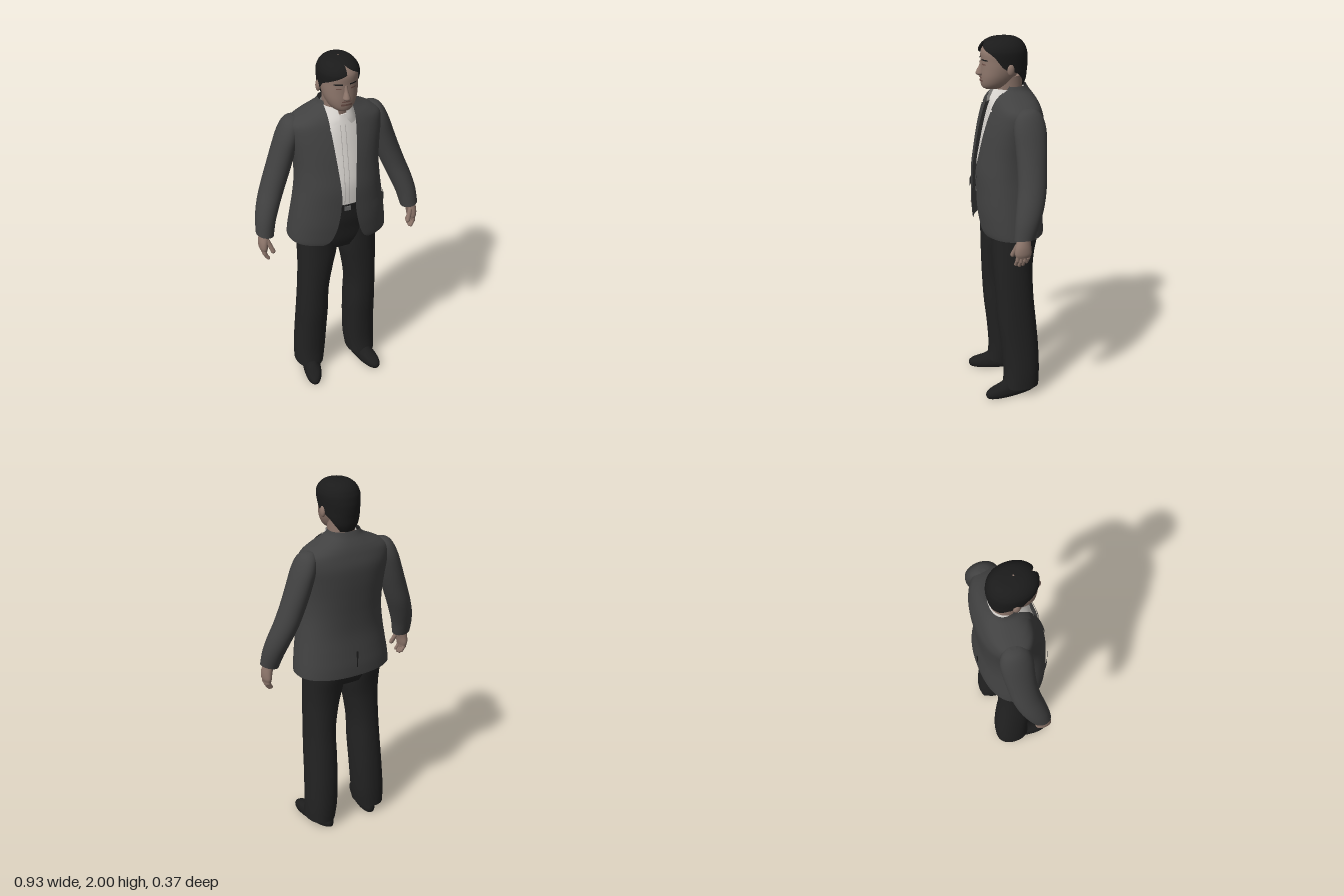
import * as THREE from 'three';

const mat = (name, color) => {
  const m = new THREE.MeshStandardMaterial({ color, side: THREE.DoubleSide });
  m.name = name;
  return m;
};

// A ring is [y, x, halfWidth, zFront, zBack, tilt, gapLeft, gapRight]; angle 0 is the front, going towards +x.
function ringPoint(r, t, e, off = 0) {
  const pow = v => Math.sign(v) * Math.abs(v) ** e;
  const dx = (r[2] + off) * pow(Math.sin(t));
  const z = (r[3] + r[4]) / 2 + ((r[3] - r[4]) / 2 + off) * pow(Math.cos(t));
  return [r[1] + dx, r[0] + (r[5] || 0) * dx, z];
}

// Catmull-Rom refinement of a list of rings
function smooth(rings, k = 5) {
  const out = [];
  for (let i = 0; i < rings.length - 1; i++) {
    const [p, a, b, q] = [rings[Math.max(i - 1, 0)], rings[i], rings[i + 1], rings[Math.min(i + 2, rings.length - 1)]];
    for (let j = 0; j < k; j++) {
      const u = j / k;
      out.push(a.map((v, n) => v + 0.5 * u * (b[n] - p[n] + u * (2 * p[n] - 5 * v + 4 * b[n] - q[n]
        + u * (3 * (v - b[n]) + q[n] - p[n])))));
    }
  }
  out.push(rings[rings.length - 1]);
  return out;
}

// Surface through rows of points, rows running upwards
function surface(rows, closed) {
  const n = rows[0].length, index = [];
  for (let i = 0; i < rows.length - 1; i++) {
    for (let j = 0; j < (closed ? n : n - 1); j++) {
      const a = i * n + j, b = i * n + (j + 1) % n;
      index.push(a, b, a + n, b, b + n, a + n);
    }
  }
  const g = new THREE.BufferGeometry();
  g.setAttribute('position', new THREE.Float32BufferAttribute(rows.flat(2), 3));
  g.setIndex(index);
  g.computeVertexNormals();
  return g;
}

// Closed body with crisp end caps
function loft(rings, e = 1, n = 36) {
  const rows = smooth(rings).map(r => Array.from({ length: n }, (_, j) => ringPoint(r, j / n * Math.PI * 2, e)));
  const mid = row => row.map(() => [0, 1, 2].map(k => row.reduce((s, p) => s + p[k], 0) / n));
  const first = rows[0], last = rows[rows.length - 1];
  return surface([mid(first), first, ...rows, last, mid(last)], true);
}

// Garment shell left open at the front by the ring gaps
const shell = (dense, e, n = 64) => surface(dense.map(r =>
  Array.from({ length: n + 1 }, (_, j) => ringPoint(r, r[6] + j / n * (Math.PI * 2 - r[6] - r[7]), e))), false);

function ringAt(dense, y) {
  let i = 0;
  while (i < dense.length - 2 && dense[i + 1][0] < y) i++;
  const a = dense[i], b = dense[i + 1], u = THREE.MathUtils.clamp((y - a[0]) / (b[0] - a[0]), 0, 1);
  return a.map((v, k) => v + u * (b[k] - v));
}
const angleAt = (r, x, e) => Math.sign(x) * Math.asin(Math.min(Math.abs(x) / r[2], 1) ** (1 / e));

// Thin detail lying on the front of a lofted form; span(y) gives [xMin, xMax]
function patch(dense, e, y0, y1, span, off, ny = 16, nx = 8) {
  return surface(Array.from({ length: ny + 1 }, (_, i) => {
    const y = y0 + (y1 - y0) * i / ny, r = ringAt(dense, y), [a, b] = span(y);
    return Array.from({ length: nx + 1 }, (_, j) => ringPoint(r, angleAt(r, a + (b - a) * j / nx, e), e, off));
  }), false);
}

// Rounded finger between two points
function finger(a, b, radius) {
  const p = new THREE.Vector3(...a), q = new THREE.Vector3(...b), d = q.clone().sub(p);
  const g = new THREE.CapsuleGeometry(radius, d.length(), 4, 10);
  g.applyQuaternion(new THREE.Quaternion().setFromUnitVectors(new THREE.Vector3(0, 1, 0), d.normalize()));
  return g.translate(...p.add(q).multiplyScalar(0.5).toArray());
}

export function createModel() {
  const root = new THREE.Group();
  root.name = 'manInSuit';
  const cloth = mat('charcoal jacket', 0x414141), trouser = mat('black trousers', 0x222222);
  const leather = mat('black leather', 0x1d1d1d), hairMat = mat('black hair', 0x1b1b1b);
  const skin = mat('skin', 0x8d766b), white = mat('white shirt', 0xdedad5);
  const seam = mat('shirt seam', 0xb0aca8), lip = mat('lips', 0x6e5048), metal = mat('buckle metal', 0x666666);
  const add = (name, geometry, material) => {
    const m = new THREE.Mesh(geometry, material);
    m.name = name;
    root.add(m);
    return m;
  };
  const centred = rows => rows.map(([y, w, zf, zb]) => [y, 0, w, zf, zb]);

  // Jacket body: y, half width, front, back, half opening
  const E = 0.86;
  const jacket = smooth([
    [0.965, 0.274, 0.165, -0.18, 0.135], [0.985, 0.273, 0.17, -0.18, 0.1], [1.03, 0.268, 0.175, -0.178, 0.075],
    [1.1, 0.258, 0.18, -0.17, 0.055], [1.2, 0.243, 0.18, -0.16, 0.04], [1.3, 0.23, 0.177, -0.162, 0.042],
    [1.4, 0.228, 0.16, -0.17, 0.05], [1.5, 0.238, 0.14, -0.178, 0.06], [1.58, 0.25, 0.118, -0.178, 0.067],
    [1.64, 0.247, 0.097, -0.162, 0.072], [1.675, 0.2, 0.083, -0.148, 0.074], [1.7, 0.145, 0.068, -0.133, 0.074],
    [1.725, 0.1, 0.05, -0.115, 0.074], [1.75, 0.084, 0.03, -0.1, 0.07],
  ]).map(([y, w, zf, zb, g]) => {
    const a = Math.asin((g / w) ** (1 / E));
    return [y, 0, w, zf, zb, 0, a, a, g];
  });
  add('jacketBody', shell(jacket, E), cloth);
  add('jacketVent', new THREE.BoxGeometry(0.006, 0.14, 0.006), leather).position.set(0, 1.035, -0.176);

  // Shirt, placket and collar
  const shirt = centred([[1.15, 0.2, 0.152, -0.13], [1.3, 0.2, 0.157, -0.14], [1.4, 0.19, 0.143, -0.145],
    [1.5, 0.19, 0.122, -0.145], [1.58, 0.17, 0.105, -0.14], [1.64, 0.13, 0.09, -0.12], [1.69, 0.075, 0.075, -0.085]]);
  add('shirt', loft(shirt), white);
  for (const x of [-0.013, 0.013]) {
    add('placketSeam', patch(smooth(shirt), 1, 1.2, 1.64, () => [x - 0.0015, x + 0.0015], 0.003), seam);
  }
  add('shirtCollar', shell(smooth([[1.645, 0, 0.105, 0.106, -0.1, 0, 0.45, 0.45], [1.68, 0, 0.092, 0.1, -0.1, 0, 0.22, 0.22],
    [1.735, 0, 0.078, 0.078, -0.092, 0, 0.3, 0.3]]), 1), white);

  // Trousers top and belt
  add('hips', loft(centred([[0.89, 0.19, 0.09, -0.11], [0.95, 0.215, 0.113, -0.135], [1.03, 0.222, 0.13, -0.145],
    [1.1, 0.218, 0.146, -0.14], [1.18, 0.205, 0.155, -0.13]]), 0.9), trouser);
  add('belt', loft(centred([[1.165, 0.208, 0.162, -0.135], [1.2, 0.208, 0.162, -0.135]])), leather);
  add('buckle', new THREE.BoxGeometry(0.035, 0.024, 0.008), metal).position.set(0, 1.182, 0.163);

  // Neck and head
  add('neck', loft(centred([[1.62, 0.075, 0.07, -0.09], [1.7, 0.07, 0.068, -0.085], [1.8, 0.07, 0.075, -0.08]])), skin);
  const face = centred([[1.732, 0.03, 0.115, 0.03], [1.742, 0.05, 0.13, -0.01], [1.765, 0.069, 0.137, -0.03],
    [1.8, 0.084, 0.139, -0.05], [1.84, 0.092, 0.137, -0.07], [1.88, 0.094, 0.135, -0.08],
    [1.93, 0.092, 0.132, -0.08], [1.97, 0.068, 0.1, -0.06]]);
  const faceDense = smooth(face);
  add('head', loft(face, 0.92), skin);
  add('nose', loft(centred([[1.803, 0.012, 0.15, 0.115], [1.814, 0.02, 0.164, 0.115], [1.83, 0.016, 0.16, 0.115],
    [1.855, 0.01, 0.147, 0.115], [1.88, 0.01, 0.139, 0.115]]), 1, 16), skin);
  add('mouth', patch(faceDense, 0.92, 1.773, 1.783, () => [-0.028, 0.028], 0.003, 4), lip);
  add('moustache', patch(faceDense, 0.92, 1.792, 1.799, () => [-0.024, 0.024], 0.003, 4), lip);

  // Hair swept to one side: y, half width, front, back, left gap, right gap
  const hair = smooth([[1.745, 0.055, 0.03, -0.088, 2.3, 2.3], [1.78, 0.078, 0.05, -0.1, 2.1, 2.1],
    [1.82, 0.094, 0.1, -0.105, 1.85, 1.85], [1.845, 0.1, 0.14, -0.108, 1.45, 1.45], [1.88, 0.103, 0.145, -0.11, 1.2, 1.2],
    [1.905, 0.105, 0.147, -0.108, 1.05, 0.75], [1.925, 0.105, 0.148, -0.105, 0.85, 0.3], [1.94, 0.102, 0.146, -0.1, 0.6, 0],
    [1.96, 0.093, 0.135, -0.09, 0.25, 0], [1.98, 0.075, 0.112, -0.07, 0, 0], [1.993, 0.05, 0.08, -0.04, 0, 0],
    [2, 0.004, 0.03, 0.02, 0, 0]]).map(([y, w, zf, zb, a, b]) => [y, 0, w, zf, zb, 0, Math.max(a, 0), Math.max(b, 0)]);
  add('hair', shell(hair, 0.95), hairMat);

  for (const s of [1, -1]) {
    const side = s > 0 ? 'left' : 'right';
    const span = (a, b) => (s > 0 ? [a, b] : [-b, -a]);
    const mirrored = rows => rows.map(([y, x, w, zf, zb, tilt = 0]) => [y, s * x, w, zf, zb, s * tilt]);

    // Jacket details: lapel, collar and pocket flap
    const edge = y => ringAt(jacket, y)[8];
    add(side + 'Lapel', patch(jacket, E, 1.22, 1.625,
      y => span(edge(y) - 0.003, edge(y) + 0.07 * Math.min((y - 1.22) / 0.36, 1)), 0.006), cloth);
    add(side + 'JacketCollar', patch(jacket, E, 1.635, 1.72,
      y => span(edge(y) - 0.003, edge(y) + 0.045 - 0.3 * (y - 1.635)), 0.007), cloth);
    add(side + 'PocketFlap', patch(jacket, E, 1.15, 1.2, () => span(0.125, 0.232), 0.008), cloth);

    // Sleeve
    add(side + 'Sleeve', loft(mirrored([[1.043, 0.418, 0.047, 0.084, -0.022, 0.22], [1.12, 0.405, 0.053, 0.075, -0.055, 0.2],
      [1.2, 0.38, 0.059, 0.06, -0.085, 0.15], [1.29, 0.345, 0.063, 0.042, -0.108, 0.1], [1.39, 0.308, 0.066, 0.034, -0.12],
      [1.48, 0.278, 0.064, 0.034, -0.13], [1.57, 0.25, 0.06, 0.035, -0.134], [1.63, 0.232, 0.05, 0.02, -0.12],
      [1.66, 0.222, 0.035, -0.01, -0.095], [1.67, 0.215, 0.012, -0.04, -0.07]])), cloth);

    // Hand
    add(side + 'Palm', loft(mirrored([[0.955, 0.432, 0.019, 0.078, 0.002], [0.975, 0.433, 0.024, 0.084, -0.004],
      [1.01, 0.43, 0.027, 0.08, -0.002], [1.05, 0.42, 0.03, 0.066, 0]])), skin);
    for (let i = 0; i < 4; i++) {
      const z = 0.011 + i * 0.019, drop = [0.012, 0, -0.004, 0.004][i];
      add(side + 'Finger', finger([s * 0.435, 0.967, z], [s * 0.433, 0.935 + drop, z + 0.003], 0.0105), skin);
      add(side + 'Fingertip', finger([s * 0.433, 0.935 + drop, z + 0.003], [s * 0.418, 0.909 + drop, z + 0.007], 0.0095), skin);
    }
    add(side + 'Thumb', finger([s * 0.415, 1.015, 0.065], [s * 0.393, 0.958, 0.085], 0.0125), skin);

    // Trouser leg
    add(side + 'Leg', loft(mirrored([[0.045, 0.162, 0.081, 0.065, -0.136], [0.15, 0.155, 0.088, 0.06, -0.14],
      [0.3, 0.148, 0.088, 0.072, -0.135], [0.45, 0.143, 0.087, 0.09, -0.122], [0.6, 0.14, 0.085, 0.1, -0.108],
      [0.75, 0.127, 0.095, 0.108, -0.105], [0.85, 0.116, 0.106, 0.112, -0.115], [0.95, 0.112, 0.11, 0.115, -0.135],
      [1.02, 0.11, 0.108, 0.12, -0.138]]), 0.9), trouser);

    // Shoe, toes turned out
    const shoe = add(side + 'Shoe', loft(centred([[0, 0.047, 0.172, -0.13], [0.02, 0.051, 0.178, -0.133],
      [0.042, 0.047, 0.16, -0.13], [0.065, 0.042, 0.09, -0.125], [0.11, 0.036, 0.03, -0.11]]), 0.9), leather);
    shoe.position.x = s * 0.16;
    shoe.rotation.y = s * 0.2;

    // Ear, eye and brow
    const ear = add(side + 'Ear', new THREE.SphereGeometry(1, 16, 12), skin);
    ear.scale.set(0.012, 0.03, 0.019);
    ear.position.set(s * 0.1, 1.842, 0.006);
    add(side + 'Eye', patch(faceDense, 0.92, 1.862, 1.869, () => span(0.024, 0.05), 0.003, 4), lip);
    add(side + 'Brow', patch(faceDense, 0.92, 1.885, 1.892, () => span(0.018, 0.058), 0.004, 4), hairMat);
  }
  return root;
}
